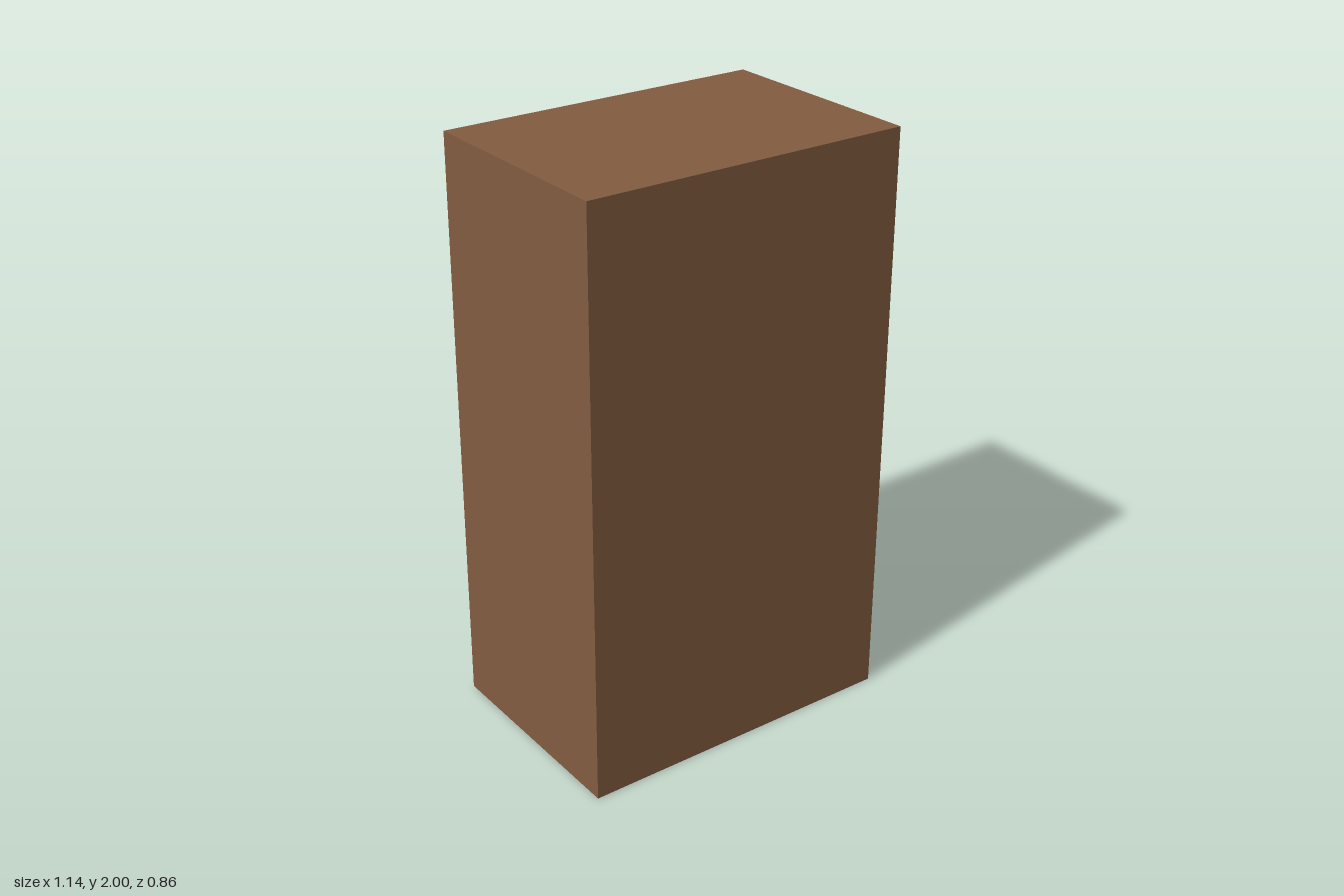
import * as THREE from 'three';

export function createModel() {
  const model = new THREE.Group();
  model.name = 'wardrobe';
  const wood = new THREE.MeshStandardMaterial({ color: 0x835d40 });
  wood.name = 'brown wood';
  const backZ = -0.34;

  const add = (name, geometry, x, y, z, parent = model) => {
    const mesh = new THREE.Mesh(geometry, wood);
    mesh.name = name;
    mesh.position.set(x, y, z);
    parent.add(mesh);
    return mesh;
  };

  // Cabinet body
  add('cabinet', new THREE.BoxGeometry(1.14, 2, 0.77), 0, 1, 0.045);

  // Two thin doors on the -z side, each with a round knob on a stem
  const doors = [
    { side: 'right', x0: -0.5, x1: -0.006, depth: 0.003, knobX: -0.074 },
    { side: 'left', x0: -0.002, x1: 0.494, depth: 0.005, knobX: 0.089 },
  ];
  for (const { side, x0, x1, depth, knobX } of doors) {
    const door = new THREE.Group();
    door.name = `${side}Door`;
    model.add(door);
    add(`${side}DoorPanel`, new THREE.BoxGeometry(x1 - x0, 1.85, depth),
      (x0 + x1) / 2, 1.003, backZ - depth / 2, door);
    const stem = new THREE.CylinderGeometry(0.006, 0.006, 0.05, 16).rotateX(Math.PI / 2);
    add(`${side}KnobStem`, stem, knobX, 1.096, backZ - 0.025, door);
    add(`${side}Knob`, new THREE.SphereGeometry(0.035, 32, 20), knobX, 1.096, -0.397, door);
  }
  return model;
}
